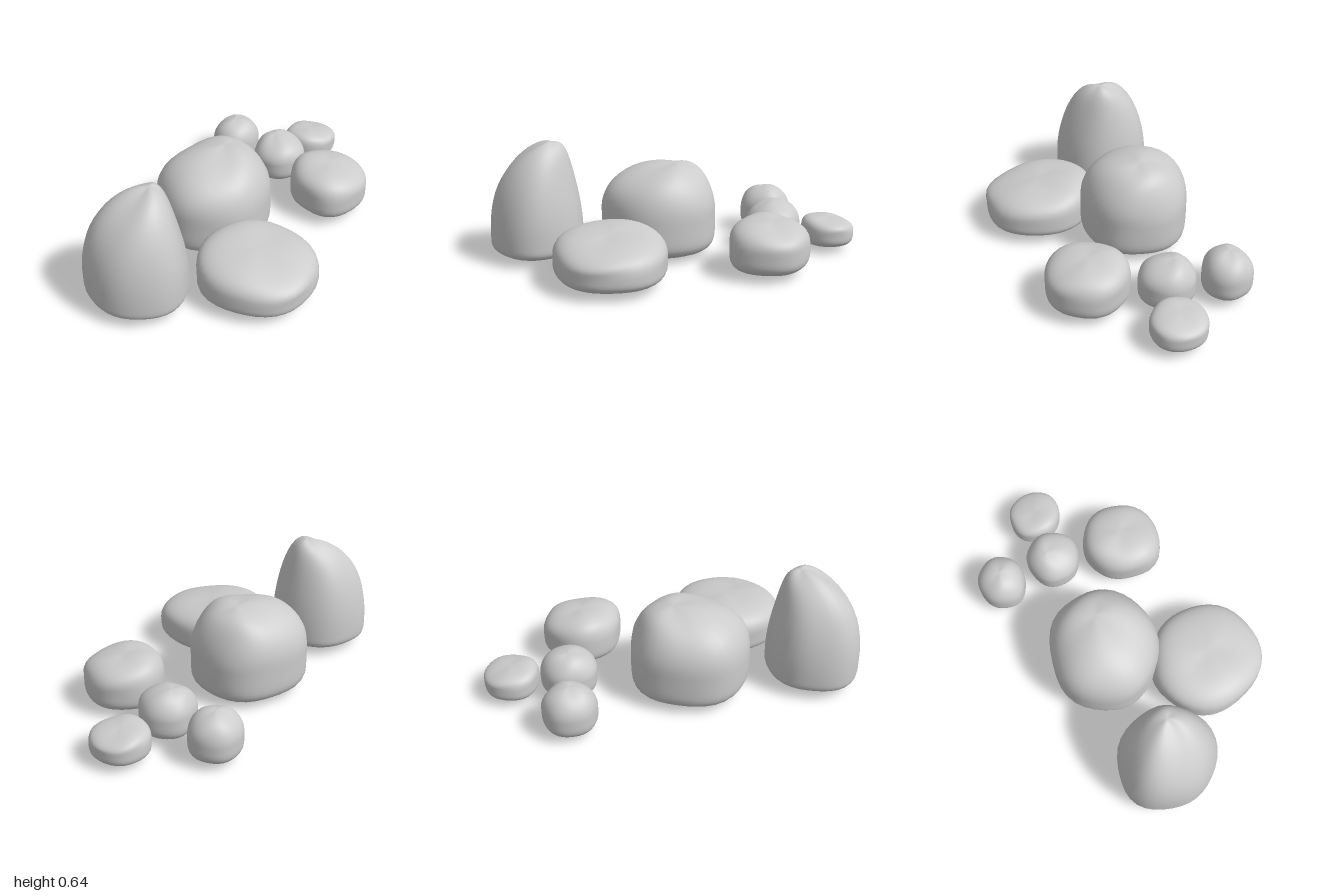
import * as THREE from 'three';

const SEGMENTS = 36, LOWER = 10, UPPER = 16;

// at: centre [x, z]; half: half widths [x, z]; y: [open base, widest level, peak];
// open: base opening against full width; tuck: how late the base curves in;
// square: boxiness of the crown; lean: shift of the peak [x, z];
// tilt: slope of the crown [x, z]; corner: [degrees from +x towards +z, bulge]
const rocks = {
  tallRock: { at: [-.745, -.15], half: [.25, .265], y: [.03, .14, .64], open: .66, tuck: 6, square: 1.95, lean: [.09, .03], tilt: [0, 0], corner: [235, .04] },
  roundRock: { at: [-.075, -.17], half: [.312, .288], y: [0, .23, .5], open: .4, tuck: 8, square: 2.25, lean: [.09, 0], tilt: [-.06, 0], corner: [240, .08] },
  flatRock: { at: [-.35, .305], half: [.288, .305], y: [.035, .13, .265], open: .78, tuck: 5, square: 3, lean: [0, 0], tilt: [.02, -.11], corner: [215, .09] },
  frontSmallRock: { at: [.475, .21], half: [.205, .215], y: [.035, .15, .28], open: .76, tuck: 5, square: 2.8, lean: [0, 0], tilt: [-.06, -.1], corner: [155, .14] },
  middleSmallRock: { at: [.555, -.175], half: [.148, .145], y: [.03, .15, .27], open: .68, tuck: 5, square: 2, lean: [0, -.03], tilt: [.05, 0], corner: [90, .02] },
  backSmallRock: { at: [.56, -.49], half: [.14, .13], y: [.03, .14, .27], open: .68, tuck: 5, square: 2.1, lean: [0, 0], tilt: [0, .05], corner: [60, .03] },
  sidePebble: { at: [.855, -.15], half: [.143, .142], y: [.035, .11, .178], open: .78, tuck: 5, square: 3, lean: [0, 0], tilt: [-.14, 0], corner: [55, .1] },
};

// Height and width of one ring: tucked in below the widest level, domed above it
function ring(i, { y: [base, belt, peak], open, tuck, square }) {
  if (i < LOWER) {
    const v = (1 - i / LOWER) ** 0.5;
    return { y: belt - (belt - base) * v, scale: 1 - (1 - open) * v ** tuck, up: 0 };
  }
  const angle = ((i - LOWER) / UPPER) * Math.PI / 2;
  const up = Math.sin(angle) ** (2 / square);
  return { y: belt + (peak - belt) * up, scale: Math.cos(angle) ** (2 / square), up };
}

function makeRock(name, rock, seed, material) {
  const { at, half, y: [, belt, peak], lean, tilt, corner } = rock;
  const positions = [], indices = [];
  const rings = LOWER + UPPER, apex = rings * SEGMENTS;

  for (let i = 0; i < rings; i++) {
    const { y, scale, up } = ring(i, rock);
    for (let j = 0; j < SEGMENTS; j++) {
      const a = (j / SEGMENTS) * Math.PI * 2;
      // Uneven outline: one blunt corner and soft ridges that twist towards the top
      const bulge = corner[1] * Math.max(0, Math.cos(a - corner[0] * Math.PI / 180)) ** 8;
      const lump = 1 + bulge + 0.015 * Math.sin(5 * a - seed + 2 * up) + 0.012 * Math.sin(3 * a + seed * 2 + 3 * up);
      const x = Math.cos(a) * half[0] * scale * lump;
      const z = Math.sin(a) * half[1] * scale * lump;
      // Shallow dents in the crown
      const dent = 0.06 * (peak - belt) * scale * Math.sin(3 * a + seed * 1.7);
      positions.push(
        at[0] + x + lean[0] * up ** 4,
        y + up * (tilt[0] * x + tilt[1] * z + dent),
        at[1] + z + lean[1] * up ** 4);

      const p = i * SEGMENTS + j, q = i * SEGMENTS + ((j + 1) % SEGMENTS);
      if (i === rings - 1) indices.push(p, apex, q);
      else indices.push(p, p + SEGMENTS, q, q, p + SEGMENTS, q + SEGMENTS);
    }
  }
  positions.push(at[0] + lean[0], peak, at[1] + lean[1]);

  const geometry = new THREE.BufferGeometry();
  geometry.setAttribute('position', new THREE.Float32BufferAttribute(positions, 3));
  geometry.setIndex(indices);
  geometry.computeVertexNormals();
  const mesh = new THREE.Mesh(geometry, material);
  mesh.name = name;
  return mesh;
}

export function createModel() {
  const group = new THREE.Group();
  group.name = 'rockCluster';
  // Hollow shells, open underneath
  const material = new THREE.MeshStandardMaterial({ color: 0xcccccc, side: THREE.DoubleSide });
  Object.entries(rocks).forEach(([name, rock], i) => group.add(makeRock(name, rock, i + 1, material)));
  return group;
}
